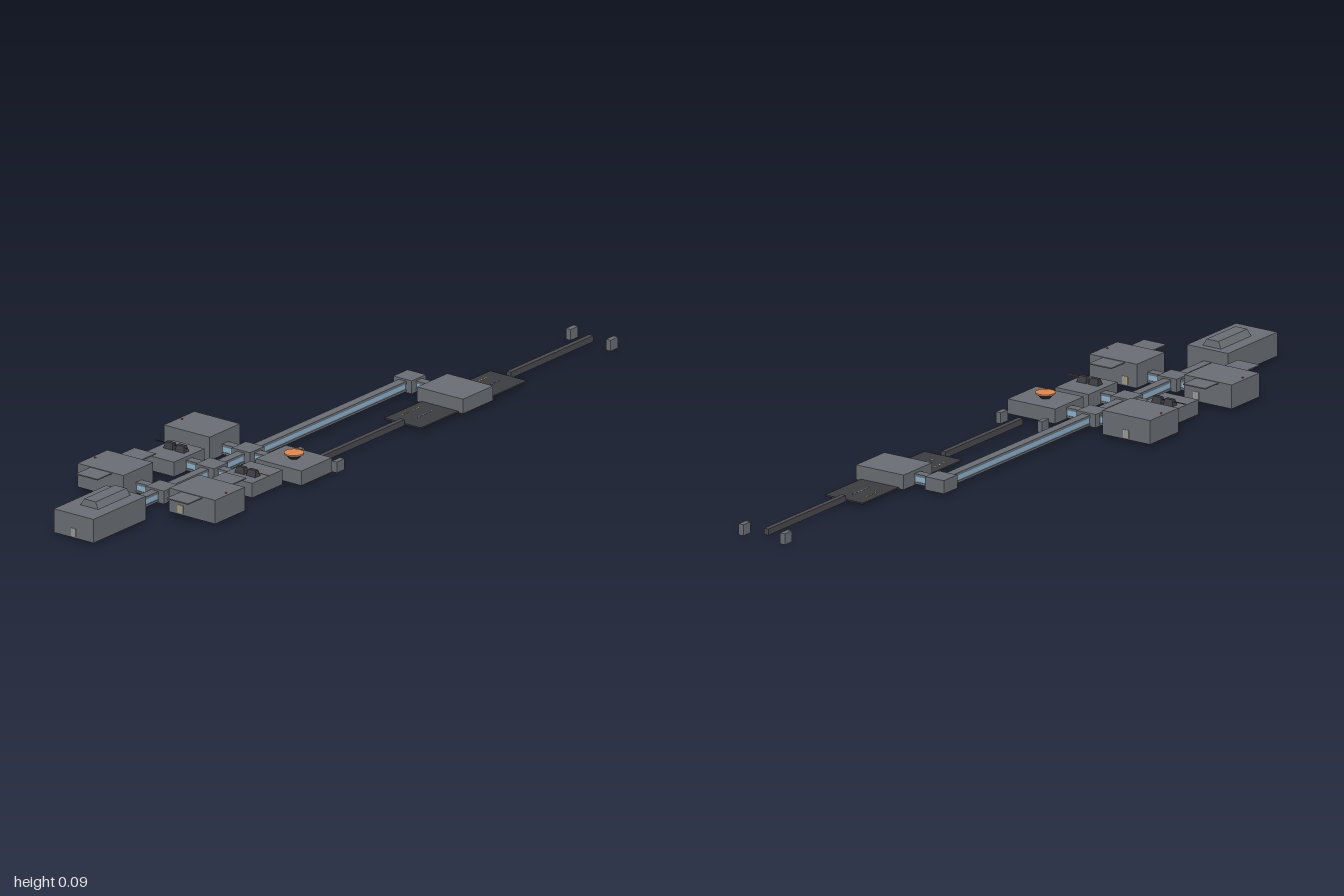
import * as THREE from 'three';

const mat = (color) => new THREE.MeshStandardMaterial({ color, flatShading: true });

export function createModel() {
  const root = new THREE.Group();
  const M = {
    hull: mat(0x6b6f75), dark: mat(0x3c3d42), rail: mat(0x4a4a4f), glass: mat(0x8fb4d0),
    door: mat(0x9a9a98), yellow: mat(0xe0b020), orange: mat(0xe08850), red: mat(0xd03030),
  };

  const add = (name, geo, m, x, y, z, parent = root) => {
    const mesh = new THREE.Mesh(geo, m);
    mesh.name = name;
    mesh.position.set(x, y, z);
    parent.add(mesh);
    return mesh;
  };
  // box given by its limits on each axis
  const block = (name, m, x0, x1, y0, y1, z0, z1, parent) =>
    add(name, new THREE.BoxGeometry(x1 - x0, y1 - y0, z1 - z0), m,
      (x0 + x1) / 2, (y0 + y1) / 2, (z0 + z1) / 2, parent);
  // door panel with yellow strip, facing +z or -z
  const door = (x, z, dir, edge, parent) => {
    const g = new THREE.Group();
    g.name = 'door';
    block('doorPanel', M.door, -0.008, 0.008, 0.014, 0.036, -0.001, 0.001, g);
    block('doorStrip', M.yellow, edge * 0.0085 - 0.0012, edge * 0.0085 + 0.0012, 0.014, 0.036, -0.001, 0.001, g);
    g.position.set(x, 0, z + dir * 0.0005);
    (parent || root).add(g);
  };
  // tapered roof block: scale the top vertices inwards
  const taper = (w, h, d, kx, kz) => {
    const geo = new THREE.BoxGeometry(w, h, d);
    const p = geo.attributes.position;
    for (let i = 0; i < p.count; i++) {
      if (p.getY(i) > 0) p.setXYZ(i, p.getX(i) * kx, p.getY(i), p.getZ(i) * kz);
    }
    geo.computeVertexNormals();
    return geo;
  };
  // corridor with floor, glazed walls and roof, along z
  const corridor = (length) => {
    const g = new THREE.Group();
    const l = length / 2;
    g.name = 'corridor';
    block('corridorFloor', M.hull, -0.0125, 0.0125, 0.013, 0.019, -l, l, g);
    block('corridorGlass', M.glass, -0.0105, 0.0105, 0.0125, 0.036, -l, l, g);
    block('corridorRoof', M.hull, -0.0125, 0.0125, 0.034, 0.041, -l, l, g);
    root.add(g);
    return g;
  };

  // command module with raised skylight
  block('commandModule', M.hull, -0.065, 0.065, 0.01, 0.075, 0.78, 1.0);
  add('commandSkylight', taper(0.058, 0.018, 0.135, 0.65, 0.96), M.hull, 0, 0.084, 0.867);
  door(0, 1.0, 1, 0);

  // spine, junctions and cross corridors
  corridor(1.17).position.z = 0.2;
  for (const z of [0.63, 0.42, 0.268, -0.41]) {
    block('junction', M.hull, -0.03, 0.03, 0.01, 0.046, z - 0.03, z + 0.03);
    for (const s of z < 0 ? [1] : [-1, 1]) {
      const c = corridor(0.06);
      c.rotation.y = Math.PI / 2;
      c.position.set(s * 0.053, 0, z);
    }
  }

  // wing modules with awnings
  for (const s of [-1, 1]) {
    block('wingModule', M.hull, s * 0.15 - 0.075, s * 0.15 + 0.075, 0.01, 0.075, 0.57, 0.695);
    for (const [z0, z1] of [[0.51, 0.572], [0.693, 0.755]]) {
      block('awning', M.hull, s * 0.148 - 0.035, s * 0.148 + 0.035, 0.0705, 0.0735, z0, z1);
    }
    door(s * 0.113, 0.695, 1, -s);
    door(s * 0.113, 0.57, -1, -s);
    add('beacon', new THREE.SphereGeometry(0.003, 8, 6), M.red, s * 0.214, 0.075, 0.635);
  }

  // low modules with paired roof units and a thin mast
  for (const s of [-1, 1]) {
    const z = 0.42 + s * 0.015;
    block('lowModule', M.hull, s * 0.128 - 0.053, s * 0.128 + 0.053, 0.01, 0.05, 0.355, 0.483);
    for (const x of [0.11, 0.147]) {
      add('roofUnit', taper(0.03, 0.017, 0.022, 0.8, 0.5), M.dark, s * x, 0.0585, z);
    }
    block('roofMast', s > 0 ? M.orange : M.dark, s * 0.145 - 0.052, s * 0.145 + 0.052, 0.06, 0.062, z - 0.001, z + 0.001);
  }

  // tall store on the right, lower pad module on the left
  block('storeModule', M.hull, -0.225, -0.075, 0.01, 0.075, 0.205, 0.333);
  door(-0.15, 0.205, -1, 1);
  add('beacon', new THREE.SphereGeometry(0.003, 8, 6), M.red, -0.214, 0.075, 0.27);
  block('padModule', M.hull, 0.075, 0.225, 0.01, 0.05, 0.205, 0.333);
  add('padBase', new THREE.CylinderGeometry(0.024, 0.012, 0.012, 24), M.dark, 0.15, 0.056, 0.268);
  add('pad', new THREE.CylinderGeometry(0.026, 0.026, 0.004, 24), M.orange, 0.15, 0.064, 0.268);

  // station with dark platforms
  block('station', M.hull, 0.075, 0.225, 0.01, 0.05, -0.472, -0.345);
  for (const [z0, z1] of [[-0.633, -0.47], [-0.347, -0.188]]) {
    const zc = (z0 + z1) / 2;
    block('platform', M.dark, 0.09, 0.21, 0.01, 0.014, z0, z1);
    for (const dz of [-0.03, -0.01, 0.01, 0.03]) {
      block('platformMark', M.yellow, 0.112, 0.115, 0.014, 0.0145, zc + dz - 0.004, zc + dz + 0.004);
      block('platformMark', M.door, 0.153, 0.155, 0.014, 0.0145, zc + dz - 0.008, zc + dz + 0.008);
    }
  }

  // track and end posts
  for (const [z0, z1] of [[-0.98, -0.633], [-0.188, 0.158]]) {
    block('track', M.rail, 0.143, 0.157, 0.008, 0.025, z0, z1);
  }
  for (const z of [-0.984, 0.165]) {
    for (const x of [0.084, 0.215]) {
      block('endPost', M.hull, x - 0.0075, x + 0.0075, 0, 0.03, z - 0.016, z + 0.016);
    }
  }
  return root;
}
